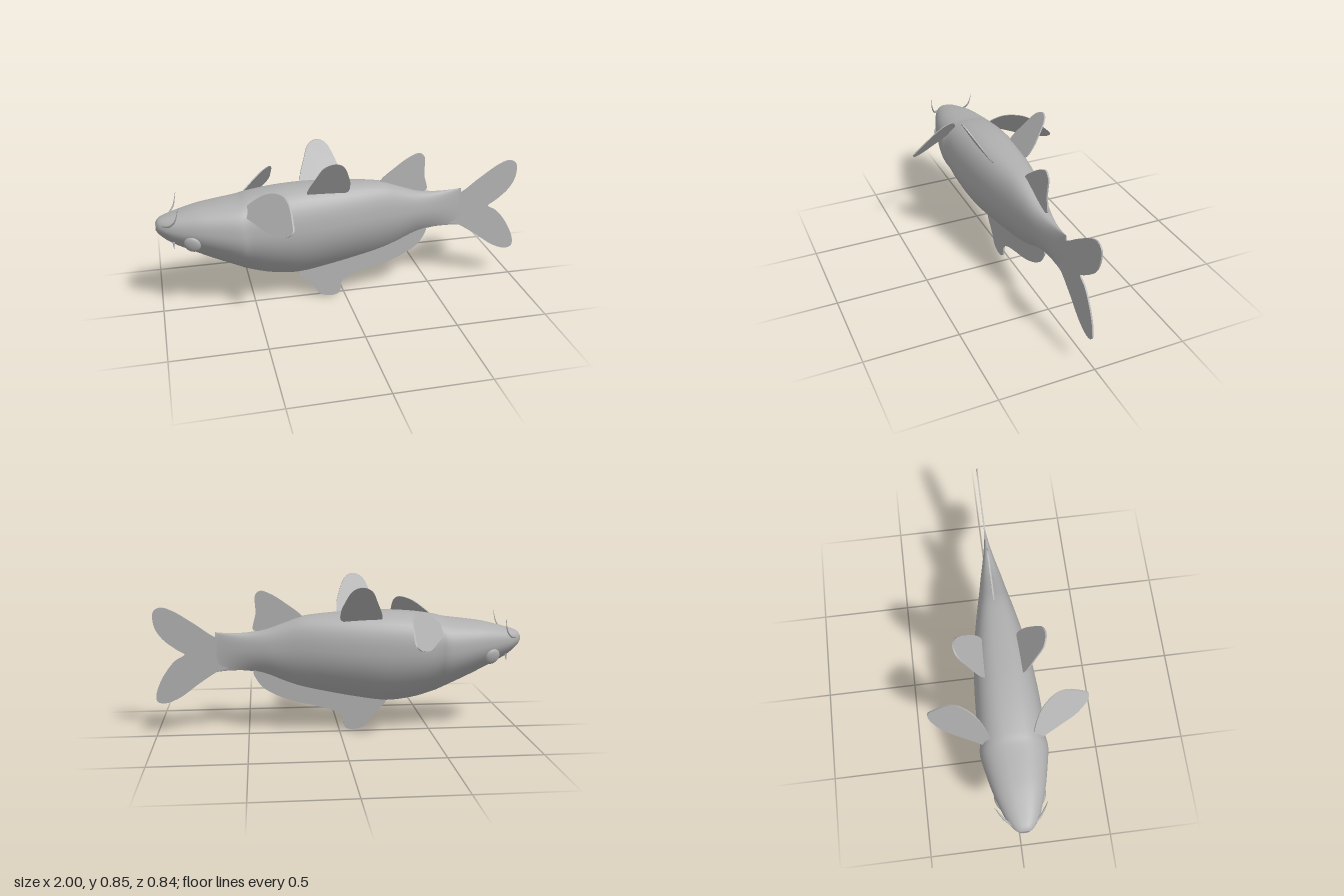
import * as THREE from 'three';

const grey = new THREE.MeshStandardMaterial({ color: 0xb0b0b0, side: THREE.DoubleSide });
grey.name = 'grey';

// Body stations: x, top y, bottom y, half width
const STATIONS = [
  [-1.0, 0.53, 0.49, 0.02], [-0.98, 0.555, 0.46, 0.05], [-0.92, 0.575, 0.41, 0.088],
  [-0.8, 0.605, 0.345, 0.13], [-0.7, 0.62, 0.295, 0.155], [-0.58, 0.635, 0.24, 0.178],
  [-0.52, 0.65, 0.215, 0.172], [-0.4, 0.668, 0.182, 0.174], [-0.25, 0.678, 0.168, 0.168],
  [-0.1, 0.676, 0.19, 0.154], [0.05, 0.668, 0.22, 0.132], [0.2, 0.652, 0.255, 0.102],
  [0.3, 0.62, 0.29, 0.08], [0.4, 0.585, 0.333, 0.06], [0.5, 0.567, 0.355, 0.037],
  [0.6, 0.566, 0.357, 0.016], [0.67, 0.572, 0.35, 0.004],
];

// Smooth hull: squarish round back, belly narrowing to a keel
function bodyGeometry(rings = 64, sides = 40) {
  const heights = new THREE.CatmullRomCurve3(STATIONS.map(s => new THREE.Vector3(s[0], s[1], s[2])), false, 'catmullrom');
  const widths = new THREE.CatmullRomCurve3(STATIONS.map(s => new THREE.Vector3(s[0], s[3], 0)), false, 'catmullrom');
  const pos = [], index = [];
  for (let i = 0; i <= rings; i++) {
    const { x, y: top, z: bottom } = heights.getPoint(i / rings);
    const w = Math.max(0.003, widths.getPoint(i / rings).y);
    const mid = bottom + (top - bottom) * 0.58;
    for (let j = 0; j < sides; j++) {
      const a = (j / sides) * Math.PI * 2, c = Math.cos(a), s = Math.sin(a);
      if (s >= 0) {
        pos.push(x, mid + (top - mid) * Math.pow(s, 0.8), w * Math.sign(c) * Math.pow(Math.abs(c), 0.8));
      } else {
        const d = Math.abs(s);
        const y = d * (0.85 + 0.15 * d);
        pos.push(x, mid - (mid - bottom) * y, w * Math.sign(c) * (1 - y * y));
      }
    }
  }
  for (let i = 0; i < rings; i++) {
    for (let j = 0; j < sides; j++) {
      const a = i * sides + j, b = i * sides + (j + 1) % sides;
      index.push(a, a + sides, b, b, a + sides, b + sides);
    }
  }
  // Nose and tail caps
  [0, rings].forEach(r => {
    const n = pos.length / 3, st = STATIONS[r ? STATIONS.length - 1 : 0];
    pos.push(st[0], (st[1] + st[2]) / 2, 0);
    for (let j = 0; j < sides; j++) {
      const a = r * sides + j, b = r * sides + (j + 1) % sides;
      if (r) index.push(n, a, b); else index.push(n, b, a);
    }
  });
  const g = new THREE.BufferGeometry();
  g.setAttribute('position', new THREE.Float32BufferAttribute(pos, 3));
  g.setIndex(index);
  g.computeVertexNormals();
  return g;
}

// Thin fin with a rounded outline; place(u, v, t) sets it in space
function finGeometry(points, place, thick = 0.008) {
  const curve = new THREE.CatmullRomCurve3(points.map(p => new THREE.Vector3(p[0], p[1], 0)), true, 'centripetal');
  const shape = new THREE.Shape(curve.getPoints(points.length * 5).slice(0, -1).map(p => new THREE.Vector2(p.x, p.y)));
  const g = new THREE.ExtrudeGeometry(shape, { depth: thick, bevelEnabled: false });
  const p = g.attributes.position;
  for (let i = 0; i < p.count; i++) p.setXYZ(i, ...place(p.getX(i), p.getY(i), p.getZ(i) - thick / 2));
  g.computeVertexNormals();
  return g;
}

export function createModel() {
  const model = new THREE.Group();
  model.name = 'fish';
  const fish = new THREE.Group();
  fish.name = 'tiltedFish';
  // Slight roll of the whole fish
  fish.rotation.x = -0.045;
  fish.position.z = 0.03;
  model.add(fish);

  const add = (name, geometry, parent = fish) => {
    const m = new THREE.Mesh(geometry, grey);
    m.name = name;
    parent.add(m);
    return m;
  };

  add('body', bodyGeometry());

  // Fins in the middle plane
  const flat = (x, y, t) => [x, y, t];
  add('tailFin', finGeometry([
    [0.6, 0.54], [0.66, 0.54], [0.78, 0.62], [0.89, 0.69], [0.95, 0.71], [0.99, 0.69], [0.99, 0.61], [0.95, 0.54],
    [0.87, 0.475], [0.835, 0.452], [0.89, 0.415], [0.96, 0.32], [0.995, 0.23], [0.99, 0.19], [0.95, 0.18],
    [0.87, 0.21], [0.76, 0.29], [0.66, 0.355], [0.6, 0.38],
  ], flat));
  add('upperRearFin', finGeometry([
    [0.2, 0.64], [0.3, 0.73], [0.37, 0.775], [0.425, 0.793], [0.452, 0.77], [0.452, 0.67], [0.468, 0.585],
    [0.45, 0.575], [0.37, 0.575], [0.28, 0.6],
  ], flat));
  add('lowerFin', finGeometry([
    [-0.26, 0.175], [-0.18, 0.075], [-0.14, 0.02], [-0.08, 0.002], [-0.035, 0.013], [-0.023, 0.04], [-0.015, 0.085],
    [0.04, 0.118], [0.14, 0.148], [0.25, 0.175], [0.36, 0.22], [0.43, 0.27], [0.47, 0.355],
    [0.4, 0.36], [0.2, 0.28], [0, 0.24],
  ], flat));

  // Paired parts, mirrored across the middle plane
  const sideFin = finGeometry([
    [0.11, 0.62], [0.16, 0.692], [0.235, 0.708], [0.297, 0.685], [0.376, 0.622], [0.42, 0.575],
    [0.412, 0.553], [0.35, 0.537], [0.25, 0.552], [0.16, 0.568], [0.11, 0.57],
  ], (z, y, t) => [-0.55 + 0.8 * (y - 0.57) + 0.7 * (z - 0.14) - t, y, z]);
  const topFin = finGeometry([
    [-0.215, 0.645], [-0.18, 0.76], [-0.145, 0.825], [-0.095, 0.845], [-0.048, 0.825], [-0.012, 0.755],
    [0.005, 0.7], [0, 0.645], [-0.1, 0.635],
  ], (x, y, t) => [x, y, 0.1 + (y - 0.65) * 0.68 + t]);
  const barbel = new THREE.TubeGeometry(new THREE.CatmullRomCurve3([
    new THREE.Vector3(-0.965, 0.53, 0.05), new THREE.Vector3(-0.93, 0.54, 0.09),
    new THREE.Vector3(-0.9, 0.575, 0.115), new THREE.Vector3(-0.882, 0.645, 0.13),
  ]), 16, 0.008, 6);
  // Taper the barbel towards its tip
  const bp = barbel.attributes.position, path = barbel.parameters.path;
  for (let i = 0; i < bp.count; i++) {
    const t = Math.floor(i / 7) / 16, c = path.getPointAt(t), k = 1 - 0.9 * t;
    bp.setXYZ(i, c.x + (bp.getX(i) - c.x) * k, c.y + (bp.getY(i) - c.y) * k, c.z + (bp.getZ(i) - c.z) * k);
  }

  [1, -1].forEach(s => {
    const side = new THREE.Group();
    side.name = s > 0 ? 'leftParts' : 'rightParts';
    side.scale.z = s;
    fish.add(side);
    add('sideFin', sideFin, side);
    add('topFin', topFin, side);
    add('barbel', barbel, side);

    const eye = add('eye', new THREE.SphereGeometry(0.045, 20, 14), side);
    eye.scale.z = 0.4;
    eye.position.set(-0.823, 0.435, 0.108);
    eye.rotation.set(0.3, -0.35, 0);

    const chin = add('chinBarbel', new THREE.ConeGeometry(0.008, 0.04, 6), side);
    chin.position.set(-0.915, 0.415, 0.055);
    chin.rotation.set(2.7, 0, 0);
  });
  return model;
}
